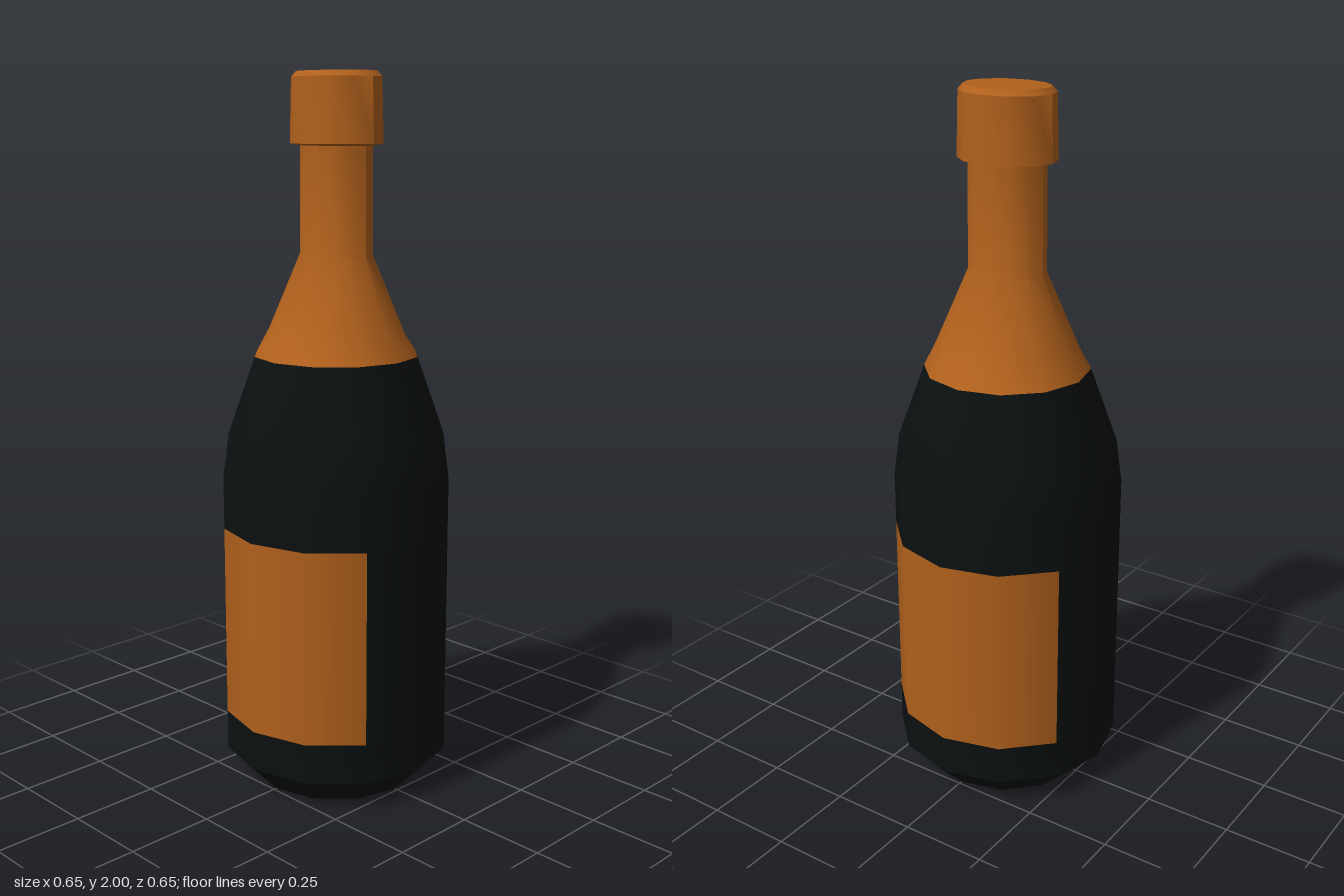
import * as THREE from 'three';
import { toCreasedNormals } from 'three/addons/utils/BufferGeometryUtils.js';

const SIDES = 12;
const glass = new THREE.MeshStandardMaterial({ color: 0x0b1010 });
const foil = new THREE.MeshStandardMaterial({ color: 0xb0601c });

// Turned shape from rings [x radius, y, z radius], bottom to top
function turned(name, rings, material) {
  const geometry = new THREE.LatheGeometry(rings.map(([r, y]) => new THREE.Vector2(r, y)), SIDES);
  const pos = geometry.attributes.position;
  for (let i = 0; i < pos.count; i++) {
    const [rx, , rz = rx] = rings[i % rings.length];
    if (rx > 0) pos.setZ(i, pos.getZ(i) * rz / rx);
  }
  const mesh = new THREE.Mesh(toCreasedNormals(geometry, 0.62), material);
  mesh.name = name;
  return mesh;
}

// Upright curved panel between two angles, measured from +z towards +x
function panel(name, startDeg, spanDeg, material) {
  const points = [new THREE.Vector2(0.325, 0.2), new THREE.Vector2(0.325, 0.75)];
  const geometry = new THREE.LatheGeometry(points, Math.round(spanDeg * SIDES / 360),
    THREE.MathUtils.degToRad(startDeg), THREE.MathUtils.degToRad(spanDeg));
  const mesh = new THREE.Mesh(geometry, material);
  mesh.name = name;
  return mesh;
}

export function createModel() {
  const bottle = new THREE.Group();
  bottle.name = 'bottle';

  // Dark glass base and upper body
  bottle.add(turned('base', [[0, 0], [0.24, 0], [0.325, 0.087], [0.325, 0.2]], glass));
  bottle.add(turned('upperBody', [[0.325, 0.75], [0.325, 0.9], [0.308, 1.025], [0.232, 1.235]], glass));

  // Middle band: labels front and back, glass between them
  bottle.add(panel('frontLabel', -60, 120, foil));
  bottle.add(panel('leftGlass', 60, 60, glass));
  bottle.add(panel('backLabel', 120, 120, foil));
  bottle.add(panel('rightGlass', 240, 60, glass));

  // Foil shoulder and neck, narrowing to an oval
  bottle.add(turned('neckFoil', [
    [0.232, 1.235, 0.232], [0.205, 1.3, 0.18], [0.115, 1.51, 0.087], [0.112, 1.81, 0.087],
  ], foil));

  // Oval cap with a small bevel on top
  bottle.add(turned('cap', [
    [0.112, 1.805, 0.087], [0.142, 1.81, 0.114], [0.137, 1.985, 0.11], [0.125, 2, 0.095], [0, 2, 0],
  ], foil));

  return bottle;
}
